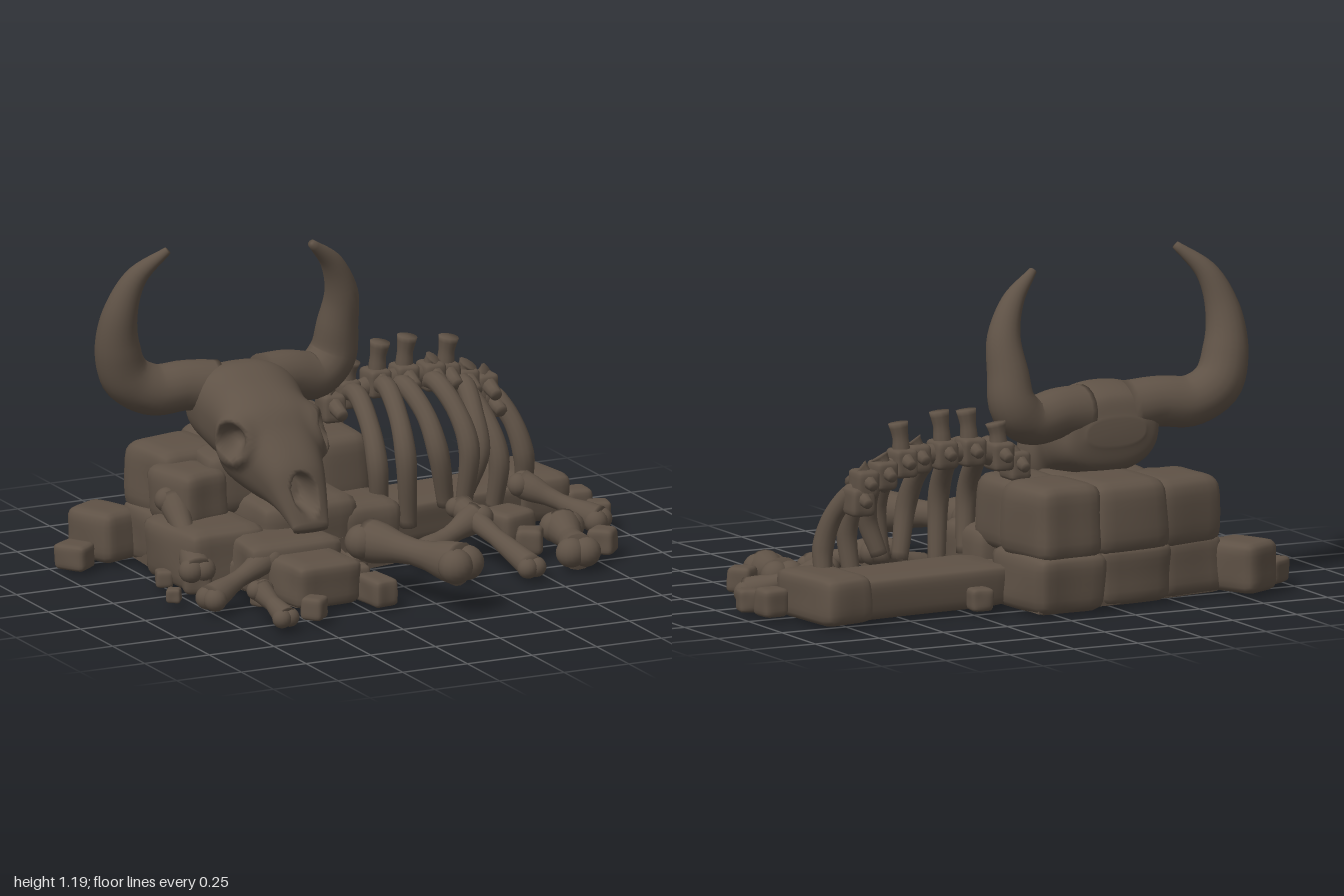
import * as THREE from 'three';
import { mergeVertices } from 'three/addons/utils/BufferGeometryUtils.js';

const V = (x, y, z) => new THREE.Vector3(x, y, z);
const { lerp, smoothstep, clamp } = THREE.MathUtils;

// Skin over a row of closed rings, capped at both ends
function skin(rings) {
  const n = rings[0].length, pos = [], idx = [];
  for (const r of rings) for (const p of r) pos.push(p.x, p.y, p.z);
  for (let i = 0; i < rings.length - 1; i++) {
    for (let j = 0; j < n; j++) {
      const a = i * n + j, b = i * n + (j + 1) % n;
      idx.push(a, b, a + n, b, b + n, a + n);
    }
  }
  [[0, true], [rings.length - 1, false]].forEach(([i, start]) => {
    const c = V(0, 0, 0);
    rings[i].forEach(p => c.addScaledVector(p, 1 / n));
    const k = pos.length / 3;
    pos.push(c.x, c.y, c.z);
    for (let j = 0; j < n; j++) {
      const a = i * n + j, b = i * n + (j + 1) % n;
      idx.push(k, ...(start ? [b, a] : [a, b]));
    }
  });
  const g = new THREE.BufferGeometry();
  g.setAttribute('position', new THREE.Float32BufferAttribute(pos, 3));
  g.setIndex(idx);
  g.computeVertexNormals();
  return g;
}

// Tube with a radius given at each path point
function taper(points, radii, steps = 24, sides = 14) {
  const curve = new THREE.CatmullRomCurve3(points.map(p => V(...p)));
  const f = curve.computeFrenetFrames(steps), rings = [];
  for (let i = 0; i <= steps; i++) {
    const t = curve.getUtoTmapping(i / steps) * (radii.length - 1);
    const k = Math.min(Math.floor(t), radii.length - 2);
    const r = lerp(radii[k], radii[k + 1], t - k), c = curve.getPointAt(i / steps);
    rings.push(Array.from({ length: sides }, (_, j) => {
      const a = j / sides * Math.PI * 2;
      return c.clone().addScaledVector(f.normals[i], r * Math.cos(a)).addScaledVector(f.binormals[i], r * Math.sin(a));
    }));
  }
  return skin(rings);
}

// Worn block with rounded edges and an uneven surface
function rockGeometry(w, h, d, seed) {
  let g = new THREE.BoxGeometry(w, h, d, 8, 8, 8);
  g.deleteAttribute('normal');
  g.deleteAttribute('uv');
  g = mergeVertices(g);
  const p = g.attributes.position, m = Math.min(w, h, d), r = m * 0.21, v = V(0, 0, 0);
  const lim = V(w / 2 - r, h / 2 - r, d / 2 - r);
  for (let i = 0; i < p.count; i++) {
    v.fromBufferAttribute(p, i);
    const inner = v.clone().clamp(lim.clone().negate(), lim);
    v.sub(inner).setLength(r).add(inner);
    const q = 1 + 0.04 * Math.sin(v.x / w * 5 + seed * 2.1) + 0.04 * Math.sin(v.z / d * 5 + v.y / h * 3 + seed * 1.3);
    p.setXYZ(i, v.x * q, v.y, v.z * q);
  }
  g.computeVertexNormals();
  return g;
}

// Skull lofted from sections: top z, top y, bottom z, bottom y, half width
function skullGeometry() {
  const S = [
    [-0.385, 0.62, -0.39, 0.53, 0.11], [-0.35, 0.70, -0.36, 0.44, 0.18], [-0.22, 0.735, -0.24, 0.40, 0.20],
    [-0.10, 0.685, -0.17, 0.37, 0.185], [0.00, 0.63, -0.11, 0.33, 0.20], [0.06, 0.56, -0.05, 0.29, 0.15],
    [0.145, 0.45, 0.03, 0.28, 0.115], [0.17, 0.37, 0.10, 0.265, 0.095], [0.205, 0.24, 0.18, 0.215, 0.065],
  ];
  const tops = new THREE.CatmullRomCurve3(S.map(s => V(0, s[1], s[0])));
  const bottoms = new THREE.CatmullRomCurve3(S.map(s => V(s[4], s[3], s[2])));
  const rings = [], N = 64, M = 64;
  for (let i = 0; i <= N; i++) {
    const top = tops.getPoint(i / N), low = bottoms.getPoint(i / N), hw = low.x;
    low.x = 0;
    const mid = top.clone().add(low).multiplyScalar(0.5), half = top.clone().sub(mid);
    rings.push(Array.from({ length: M }, (_, j) => {
      const a = j / M * Math.PI * 2, c = Math.cos(a), s = Math.sin(a);
      const p = mid.clone().addScaledVector(half, Math.sign(c) * Math.abs(c) ** 0.8);
      p.x = -hw * Math.sign(s) * Math.abs(s) ** 0.85;
      // Eye sockets with a raised rim
      const side = Math.sign(p.x);
      const e = Math.hypot((p.x - side * 0.155) / 0.07, (p.y - 0.52) / 0.07, (p.z + 0.03) / 0.06);
      const push = -0.09 * (1 - smoothstep(e, 0.45, 1)) + 0.02 * Math.exp(-(((e - 1.15) / 0.25) ** 2));
      p.add(V(side * push * 0.75, 0, push * 0.65));
      // Nose opening
      const nose = Math.hypot(p.x / 0.05, (p.y - 0.355) / 0.075);
      if (c > 0.3) p.z -= 0.1 * (1 - smoothstep(nose, 0.6, 1));
      p.x += lerp(-0.33, -0.38, clamp((p.y - 0.25) / 0.45, 0, 1));
      return p;
    }));
  }
  return skin(rings);
}

export function createModel() {
  const model = new THREE.Group();
  model.name = 'bonePile';
  const brown = new THREE.MeshStandardMaterial({ color: 0x5f5246 });
  brown.name = 'weathered brown';
  const add = (name, geo, parent = model) => {
    const m = new THREE.Mesh(geo, brown);
    m.name = name;
    parent.add(m);
    return m;
  };

  add('skull', skullGeometry());
  add('rightHorn', taper([[-0.46, 0.64, -0.29], [-0.57, 0.655, -0.305], [-0.69, 0.65, -0.32], [-0.785, 0.705, -0.33], [-0.83, 0.82, -0.31],
    [-0.835, 0.95, -0.28], [-0.79, 1.08, -0.25], [-0.69, 1.18, -0.2]], [0.095, 0.088, 0.09, 0.09, 0.08, 0.062, 0.04, 0.014], 40, 18));
  add('leftHorn', taper([[-0.28, 0.64, -0.29], [-0.18, 0.645, -0.305], [-0.06, 0.63, -0.32], [0.01, 0.69, -0.33], [0.02, 0.80, -0.31],
    [0.02, 0.92, -0.28], [-0.03, 1.04, -0.25], [-0.13, 1.135, -0.21]], [0.095, 0.088, 0.085, 0.085, 0.074, 0.06, 0.04, 0.014], 40, 18));

  // Flat footing that joins the blocks, drawn in x and -z
  const outline = [[-0.69, 0.52], [0.08, 0.66], [0.08, -0.01], [-0.18, -0.06], [-0.25, -0.38], [-0.48, -0.38], [-0.55, -0.06], [-0.72, -0.02]];
  const footing = new THREE.Shape(outline.map(p => new THREE.Vector2(...p)));
  const base = add('footing', new THREE.ExtrudeGeometry(footing, { depth: 0.13, bevelEnabled: false }));
  base.rotation.x = -Math.PI / 2;
  base.position.y = 0.012;

  // Blocks: x, y, z, width, height, depth, turn
  [
    [-0.56, 0.11, -0.40, 0.30, 0.21, 0.32, 0.12], [-0.31, 0.11, -0.44, 0.32, 0.21, 0.36, 0.12], [-0.03, 0.11, -0.51, 0.27, 0.21, 0.36, 0.08],
    [-0.55, 0.30, -0.42, 0.29, 0.25, 0.28, 0.15], [-0.30, 0.31, -0.46, 0.32, 0.26, 0.32, 0.12], [-0.03, 0.32, -0.54, 0.26, 0.27, 0.30, 0.1],
    [-0.60, 0.12, -0.10, 0.32, 0.22, 0.36, 0.1], [-0.25, 0.15, -0.12, 0.40, 0.28, 0.36, 0], [-0.02, 0.13, -0.10, 0.24, 0.24, 0.30, 0],
    [-0.35, 0.32, -0.25, 0.40, 0.22, 0.22, 0], [-0.04, 0.31, -0.28, 0.25, 0.26, 0.26, 0], [-0.60, 0.29, -0.22, 0.20, 0.20, 0.24, 0.2],
    [-0.38, 0.09, 0.31, 0.26, 0.16, 0.24, 0.1], [-0.40, 0.11, 0.12, 0.36, 0.19, 0.24, 0], [-0.20, 0.06, 0.44, 0.09, 0.10, 0.15, 0.1],
    [-0.78, 0.10, -0.53, 0.18, 0.18, 0.22, 0.4], [-0.93, 0.055, -0.44, 0.11, 0.09, 0.12, 0.6],
    [0.46, 0.085, -0.35, 0.76, 0.15, 0.28, 0.1], [0.77, 0.095, -0.39, 0.20, 0.17, 0.33, 0.1], [0.58, 0.065, -0.11, 0.15, 0.11, 0.15, 0.3],
  ].forEach(([x, y, z, w, h, d, t], i) => {
    const m = add('block', rockGeometry(w, h, d, i));
    m.position.set(x, y, z);
    m.rotation.y = t;
  });

  // Pebbles: x, z, size
  [[0.92, -0.27, 0.1], [0.95, -0.15, 0.08], [0.56, 0.1, 0.09], [0.79, 0.21, 0.09], [0.22, 0.28, 0.08], [0.21, 0.17, 0.07],
    [0.23, -0.5, 0.08], [-0.77, -0.07, 0.06], [-0.83, 0.13, 0.05], [-0.49, 0.54, 0.08], [-0.58, 0.3, 0.06], [-0.12, 0.1, 0.08],
    [-0.15, 0.2, 0.07], [-0.7, 0.05, 0.1], [-0.52, 0.06, 0.11]].forEach(([x, z, s], i) => {
    const m = add('pebble', rockGeometry(s, s, s, i + 30));
    m.position.set(x, s / 2 + 0.015, z);
    m.rotation.y = i * 1.3;
  });

  // Vertebrae with an upright spur and side wings: x, y, z, spur top
  [[0.02, 0.49, -0.37, 0.53], [0.09, 0.53, -0.38, 0.645], [0.205, 0.555, -0.38, 0.70], [0.315, 0.555, -0.39, 0.705], [0.42, 0.55, -0.39, 0.61],
    [0.48, 0.54, -0.40, 0.68], [0.56, 0.505, -0.41, 0.57], [0.635, 0.48, -0.41, 0.53], [0.655, 0.42, -0.41, 0.44]].forEach(([x, y, z, top], i) => {
    const v = new THREE.Group();
    v.name = 'vertebra';
    model.add(v);
    add('vertebraBody', rockGeometry(0.085, 0.1, 0.1, i), v).position.set(x, y, z);
    add('vertebraSpur', taper([[x, y, z], [x + 0.004, (y + top) / 2 + 0.02, z + 0.005], [x + 0.01, top, z + 0.01]], [0.035, 0.028, 0.036], 8, 10), v);
    add('vertebraWings', taper([[x, y, z - 0.075], [x, y + 0.02, z], [x, y - 0.01, z + 0.1]], [0.018, 0.034, 0.022], 8, 10), v);
  });
  add('spineCore', taper([[0.02, 0.49, -0.37], [0.2, 0.55, -0.38], [0.42, 0.55, -0.39], [0.62, 0.48, -0.41], [0.66, 0.41, -0.41]], [0.03, 0.036, 0.036, 0.03, 0.025]));

  // Ribs: x at top, middle and end, then top height, forward reach, end height
  [[0.08, 0.06, 0.08, 0.55, -0.07, 0.14], [0.20, 0.18, 0.20, 0.56, -0.09, 0.10], [0.28, 0.32, 0.36, 0.55, -0.12, 0.15],
    [0.40, 0.44, 0.43, 0.55, -0.12, 0.15], [0.52, 0.50, 0.46, 0.52, -0.16, 0.18], [0.54, 0.58, 0.57, 0.48, -0.17, 0.10],
    [0.66, 0.73, 0.74, 0.45, -0.28, 0.13]].forEach(([a, b, c, y, z, end]) => {
    add('rib', taper([[a, y - 0.02, z * 0.2 - 0.36], [a, y, z * 0.5 - 0.25], [lerp(a, b, 0.6), y - 0.08, z * 0.8 - 0.1], [b, y - 0.2, z - 0.01], [c, end, z - 0.03]],
      [0.026, 0.035, 0.034, 0.038, 0.03], 24, 12));
  });

  // Long bones with a pair of knuckles at each end: start, end, shaft and knuckle radius
  [
    [[-0.15, 0.19, 0.27], [0.03, 0.17, 0.635], 0.05, 0.062], [[0.70, 0.085, 0.07], [0.635, 0.065, 0.33], 0.047, 0.053],
    [[0.14, 0.06, 0.11], [0.39, 0.15, 0.03], 0.036, 0.044], [[0.36, 0.17, -0.04], [0.425, 0.05, 0.39], 0.034, 0.036],
    [[-0.76, 0.055, 0.28], [-0.50, 0.15, 0.20], 0.034, 0.041], [[0.70, 0.16, -0.25], [0.89, 0.06, -0.03], 0.032, 0.041],
    [[-0.66, 0.12, 0.46], [-0.63, 0.05, 0.60], 0.032, 0.034], [[-0.68, 0.29, -0.18], [-0.71, 0.10, 0.07], 0.038, 0.044],
  ].forEach(([a, b, r, k]) => {
    const bone = new THREE.Group();
    bone.name = 'longBone';
    model.add(bone);
    const A = V(...a), B = V(...b), at = t => A.clone().lerp(B, t).toArray();
    add('shaft', taper([0, 0.17, 0.34, 0.5, 0.66, 0.83, 1].map(at), [k * 1.25, k * 1.12, r * 1.05, r * 0.92, r * 1.05, k * 1.12, k * 1.25], 20, 16), bone);
    const out = B.clone().sub(A).cross(V(0, 1, 0)).normalize();
    for (const p of [A, B]) for (const s of [-1, 1]) {
      add('knuckle', new THREE.SphereGeometry(k, 16, 12), bone).position.copy(p).addScaledVector(out, s * k * 0.5);
    }
  });
  return model;
}
